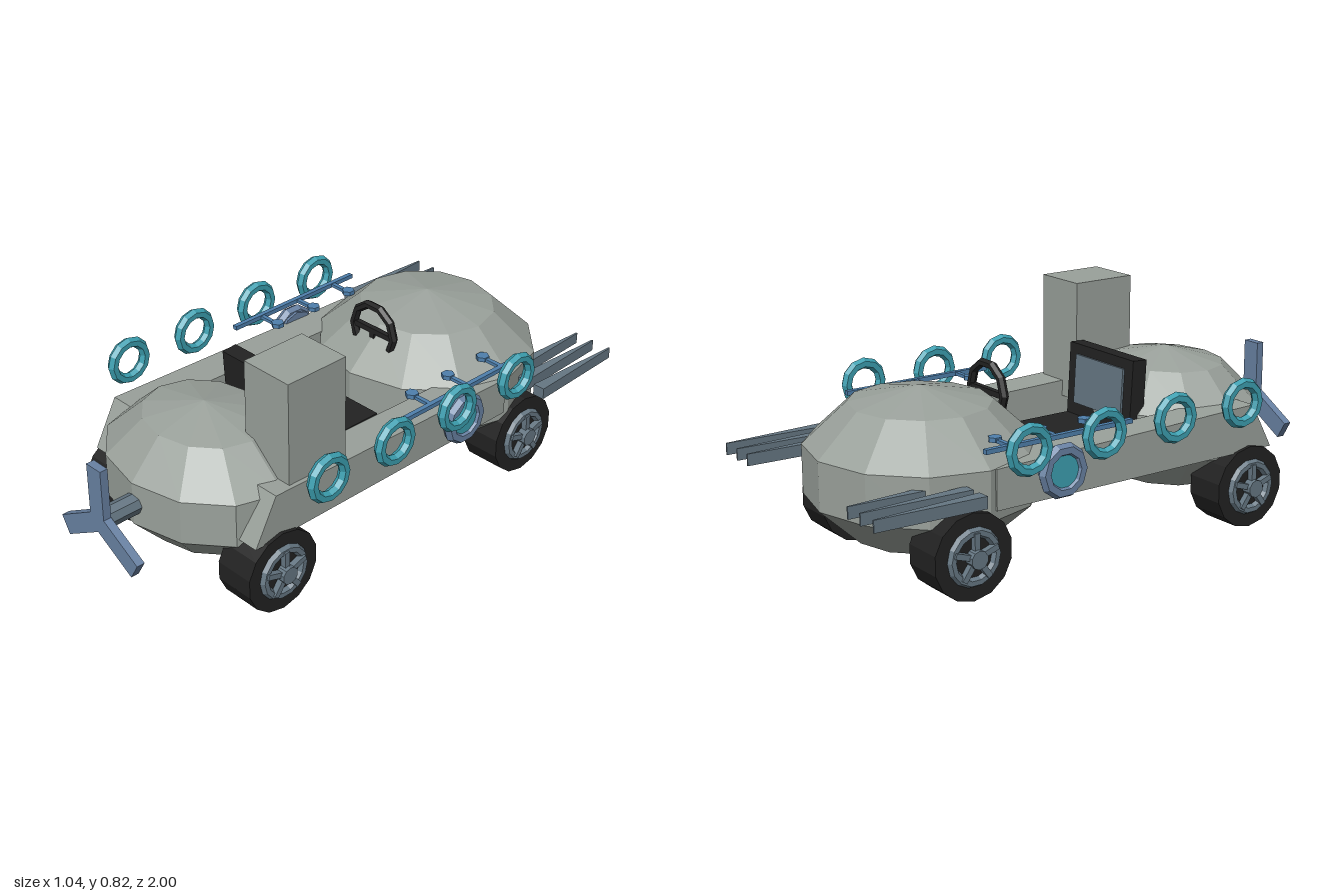
import * as THREE from 'three';

const material = (name, color) => {
  const m = new THREE.MeshStandardMaterial({ color, flatShading: true });
  m.name = name;
  return m;
};

export function createModel() {
  const grey = material('bodyGrey', 0x9aa19b);
  const black = material('black', 0x222222);
  const slate = material('slate', 0x667783);
  const steel = material('steelBlue', 0x6982a3);
  const blue = material('rodBlue', 0x4f80ad);
  const teal = material('teal', 0x3c9fb0);

  const model = new THREE.Group();
  model.name = 'vehicle';
  const add = (name, geometry, mat, x = 0, y = 0, z = 0, parent = model) => {
    const mesh = new THREE.Mesh(geometry, mat);
    mesh.name = name;
    mesh.position.set(x, y, z);
    parent.add(mesh);
    return mesh;
  };
  const group = (name, x, y, z, turn = 0) => {
    const g = new THREE.Group();
    g.name = name;
    g.position.set(x, y, z);
    g.rotation.y = turn;
    model.add(g);
    return g;
  };
  const box = (w, h, d) => new THREE.BoxGeometry(w, h, d);
  const disc = (r, depth, sides) => new THREE.CylinderGeometry(r, r, depth, sides).rotateX(Math.PI / 2);

  // Faceted front and rear pods
  add('frontPod', new THREE.SphereGeometry(1, 12, 5).scale(0.4, 0.26, 0.332), grey, 0, 0.333, 0.54);
  add('rearPod', new THREE.SphereGeometry(1, 12, 5).scale(0.432, 0.28, 0.412), grey, 0, 0.333, -0.523);

  // Upright box beside the seat
  add('tallBox', box(0.205, 0.44, 0.25), grey, 0.293, 0.6, 0.403);

  // Seat, with its back towards +z
  const seat = group('seat', 0, 0, 0);
  add('seatBase', box(0.36, 0.06, 0.4), black, 0, 0.32, 0.11, seat);
  add('seatBack', box(0.36, 0.27, 0.06), black, 0, 0.475, 0.265, seat).rotation.x = 0.06;
  add('seatPanel', box(0.27, 0.18, 0.009), slate, 0, 0.485, 0.232, seat).rotation.x = 0.06;

  // Steering wheel rising from the rear pod
  const steering = group('steeringWheel', 0, 0.548, -0.25);
  add('steeringRim', new THREE.TorusGeometry(0.098, 0.016, 6, 10), black, 0, 0, 0, steering);
  add('steeringBar', box(0.19, 0.02, 0.02), black, 0, 0, 0, steering);
  add('steeringStem', box(0.02, 0.1, 0.02), black, 0, -0.05, 0, steering);

  // Propeller and shaft
  const propeller = group('propeller', 0, 0.333, 0.985);
  add('propellerShaft', disc(0.038, 0.2, 8), slate, 0, 0, -0.11, propeller);
  for (let i = 0; i < 3; i++) {
    const blade = box(0.07, 0.207, 0.03).translate(0, 0.1035, 0).rotateZ((i * Math.PI * 2) / 3);
    add('propellerBlade', blade, steel, 0, 0, 0, propeller);
  }

  // Side rail profile, drawn along z and y
  const railShape = new THREE.Shape([
    [0.69, 0.28], [0.6, 0.447], [0.33, 0.44], [-0.5, 0.42], [-0.5, 0.28],
  ].map(([z, y]) => new THREE.Vector2(z, y)));

  // Tapering blade of a rear spike, drawn along x and z
  const spikeShape = new THREE.Shape([
    [-0.023, 0.6], [0.023, 0.6], [0.003, 1], [-0.003, 1],
  ].map(([x, z]) => new THREE.Vector2(x, z)));

  for (const s of [1, -1]) {
    const turn = (s * Math.PI) / 2; // local +z points outward

    const rail = new THREE.ExtrudeGeometry(railShape, { depth: 0.135, bevelEnabled: false });
    add('sideRail', rail.rotateY(-Math.PI / 2), grey, s > 0 ? 0.412 : -0.277);

    // Wheels with five-spoke rims
    for (const z of [0.585, -0.6]) {
      const wheel = group('wheel', s * 0.35, 0.15, z, turn);
      add('tyre', disc(0.15, 0.15, 14), black, 0, 0, 0, wheel);
      add('rim', new THREE.TorusGeometry(0.085, 0.017, 6, 14), slate, 0, 0, 0.075, wheel);
      add('hub', disc(0.032, 0.04, 10), slate, 0, 0, 0.09, wheel);
      for (let i = 0; i < 5; i++) {
        const spoke = box(0.02, 0.085, 0.024).translate(0, 0.043, 0).rotateZ((i * Math.PI * 2) / 5);
        add('spoke', spoke, slate, 0, 0, 0.085, wheel);
      }
    }

    // Row of floating rings
    for (const z of [0.46, 0.16, -0.14, -0.44]) {
      const ring = add('sideRing', new THREE.TorusGeometry(0.07, 0.02, 6, 12), teal, s * 0.505, 0.498, z);
      ring.rotation.y = turn;
    }

    // Rod with inward prongs and hexagonal knobs
    add('sideRod', box(0.018, 0.016, 0.59), blue, s * 0.428, 0.493, -0.262);
    for (const z of [-0.455, -0.275, -0.095]) {
      add('prong', box(0.1, 0.012, 0.016), blue, s * 0.385, 0.493, z);
      add('prongKnob', new THREE.CylinderGeometry(0.024, 0.024, 0.016, 6), blue, s * 0.338, 0.496, z);
    }

    // Round porthole
    const port = group('porthole', s * 0.435, 0.375, -0.255, turn);
    add('portholeFrame', new THREE.TorusGeometry(0.074, 0.023, 6, 10), steel, 0, 0, 0, port);
    add('portholeBack', disc(0.08, 0.03, 10), steel, 0, 0, -0.015, port);
    add('portholeGlass', disc(0.058, 0.009, 10), teal, 0, 0, 0.006, port);

    // Three rear spikes
    for (const x of [0.33, 0.405, 0.483]) {
      const spike = new THREE.ExtrudeGeometry(spikeShape, { depth: 0.042, bevelEnabled: false });
      add('rearSpike', spike.rotateX(-Math.PI / 2), slate, s * x, 0.335, 0);
    }
  }
  return model;
}
